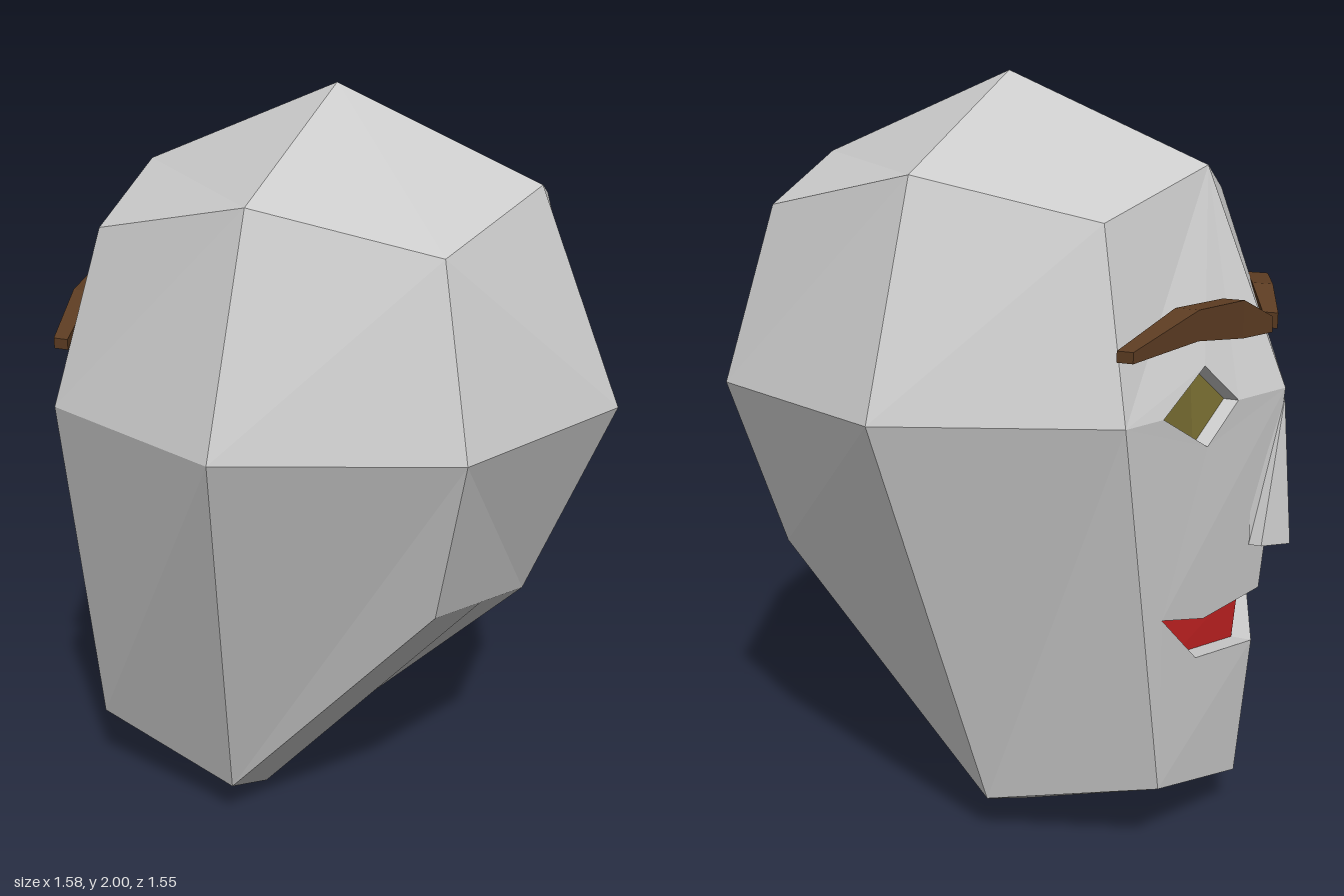
import * as THREE from 'three';

const mat = (color, side = THREE.FrontSide) =>
  new THREE.MeshStandardMaterial({ color, side, flatShading: true });
const skin = mat(0xcccccc);
const skinThin = mat(0xcccccc, THREE.DoubleSide);
const olive = mat(0x756a30);
const red = mat(0xc42222);
const brown = mat(0x5c3c22);

// Flat-faced geometry from a list of quads (each four [x, y, z] corners)
function quadGeometry(quads) {
  const pos = [];
  for (const [a, b, c, d] of quads) pos.push(...a, ...b, ...c, ...a, ...c, ...d);
  const g = new THREE.BufferGeometry();
  g.setAttribute('position', new THREE.Float32BufferAttribute(pos, 3));
  g.computeVertexNormals();
  return g;
}

// Depth of the folded face surface, which looks along -x, at a given z and y
function faceX(z, y) {
  const d = y - 1.225;
  const up = d > 0;
  const mid = up ? -0.76 + 0.225 * d / 0.55 : -0.76 - 0.09 * d / 1.1;
  const s = up ? d / 0.45 : -d / 1.005;
  const edgeZ = 0.55 - (up ? 0.1 : 0.2) * s;
  const edgeX = -0.535 + (up ? 0.1 : -0.035) * s;
  return mid + (edgeX - mid) * Math.abs(z) / edgeZ;
}

// Outline of [z, y] points laid on the face, on one side, sunk by depth
function facePatch(outline, side, depth = 0) {
  const shape = new THREE.Shape(outline.map(([z, y]) => new THREE.Vector2(z * side, y)));
  const g = new THREE.ShapeGeometry(shape).toNonIndexed();
  const p = g.attributes.position;
  for (let i = 0; i < p.count; i++) {
    const z = p.getX(i), y = p.getY(i);
    p.setXYZ(i, faceX(z, y) + depth, y, z);
  }
  g.computeVertexNormals();
  return g;
}

// Walls running inward from a rim on the face
function rimWalls(rim, side, depth) {
  const at = ([z, y], d) => [faceX(z, y) + d, y, z * side];
  return quadGeometry(rim.slice(1).map((b, i) =>
    [at(rim[i], 0), at(b, 0), at(b, depth), at(rim[i], depth)]));
}

// Points of the faceted skull, on a 3 x 3 x 3 lattice; the jaw is pulled down and forward
function skullPoint(i, j, k) {
  if (j === -1 && i === -1) return k ? [-0.57, 0.22, 0.35 * k] : [-0.67, 0.125, 0];
  if (j === -1 && i === 0) return k ? [-0.12, 0.125, 0.43 * k] : [-0.12, 0.005, 0];
  const r = [0, 0.775, 0.55, 0.45][Math.abs(i) + Math.abs(j) + Math.abs(k)];
  return [0.015 + i * r, 1.225 + j * r, k * r];
}

function skullGeometry() {
  const quads = [];
  // crown, back and both sides
  for (const [axis, sign] of [[0, 1], [1, 1], [2, 1], [2, -1]]) {
    const u = (axis + 1) % 3, v = (axis + 2) % 3;
    for (const a of [-1, 0]) for (const b of [-1, 0]) {
      const quad = [[a, b], [a + 1, b], [a + 1, b + 1], [a, b + 1]].map(([s, t]) => {
        const n = [0, 0, 0];
        n[axis] = sign; n[u] = s; n[v] = t;
        return skullPoint(...n);
      });
      quads.push(sign > 0 ? quad : quad.reverse());
    }
  }
  // underside, with an extra cut halfway to each side
  const half = [[-0.62, 0.172, 0.175], [-0.12, 0.01, 0.21], [0.515, 0.725, 0.225]];
  const rows = [-1, 0, 1].map((i, n) => {
    const [x, y, z] = half[n];
    return [skullPoint(i, -1, -1), [x, y, -z], skullPoint(i, -1, 0), [x, y, z], skullPoint(i, -1, 1)];
  });
  for (let r = 0; r < 2; r++) for (let c = 0; c < 4; c++)
    quads.push([rows[r][c], rows[r + 1][c], rows[r + 1][c + 1], rows[r][c + 1]]);
  return quadGeometry(quads);
}

// Eyebrow lofted through four rectangular sections: [z, front x, back x, low y, high y]
function browGeometry(side) {
  const rings = [
    [0.025, -0.725, -0.685, 1.37, 1.41],
    [0.13, -0.68, -0.625, 1.37, 1.465],
    [0.3, -0.62, -0.56, 1.39, 1.465],
    [0.525, -0.54, -0.5, 1.373, 1.4],
  ].map(([z, f, b, lo, hi]) =>
    [[f, lo, z * side], [f, hi, z * side], [b, hi, z * side], [b, lo, z * side]]);
  const quads = [[...rings[0]].reverse(), rings[3]];
  for (let r = 0; r < 3; r++) for (let c = 0; c < 4; c++) {
    const d = (c + 1) % 4;
    quads.push([rings[r][c], rings[r][d], rings[r + 1][d], rings[r + 1][c]]);
  }
  return quadGeometry(side > 0 ? quads.map(q => [...q].reverse()) : quads);
}

export function createModel() {
  const model = new THREE.Group();
  const add = (name, geometry, material) => {
    const mesh = new THREE.Mesh(geometry, material);
    mesh.name = name;
    model.add(mesh);
  };

  add('skull', skullGeometry(), skin);

  // Half outlines of the openings and of the face around them
  const eyeIn = [0.175, 1.225], eyeLow = [0.27, 1.125], eyeOut = [0.43, 1.225], eyeTop = [0.25, 1.32];
  const eye = [eyeIn, eyeLow, eyeOut, eyeTop];
  const mouth = [[0, 0.52], [0.235, 0.55], [0.38, 0.7], [0.22, 0.655], [0, 0.675]];
  const forehead = [[0, 1.225], eyeIn, eyeTop, eyeOut, [0.55, 1.225], [0.45, 1.675], [0, 1.775]];
  const lowerFace = [[0, 1.225], eyeIn, eyeLow, eyeOut, [0.55, 1.225], [0.35, 0.22], [0, 0.125], ...mouth];

  for (const side of [1, -1]) {
    const tag = side > 0 ? 'Near' : 'Far';
    add('forehead' + tag, facePatch(forehead, side), skin);
    add('lowerFace' + tag, facePatch(lowerFace, side), skin);
    add('eyeSocket' + tag, rimWalls([...eye, eyeIn], side, 0.038), skinThin);
    add('eye' + tag, facePatch(eye, side, 0.038), olive);
    add('lips' + tag, rimWalls(mouth, side, 0.055), skinThin);
    add('mouth' + tag, facePatch(mouth, side, 0.055), red);
    add('eyebrow' + tag, browGeometry(side), brown);

    // Nose: front plane, side strip and underside
    const top = [-0.76, 1.2, 0], tip = [-0.793, 0.81, 0], root = [-0.725, 0.82, 0];
    const front = [-0.738, 0.82, 0.08 * side];
    const back = [-0.705, 0.82, 0.08 * side], wing = [-0.705, 0.93, 0.08 * side];
    add('nose' + tag, quadGeometry([
      [top, tip, front, top], [top, front, back, wing], [tip, root, back, front],
    ]), skinThin);
  }
  return model;
}
